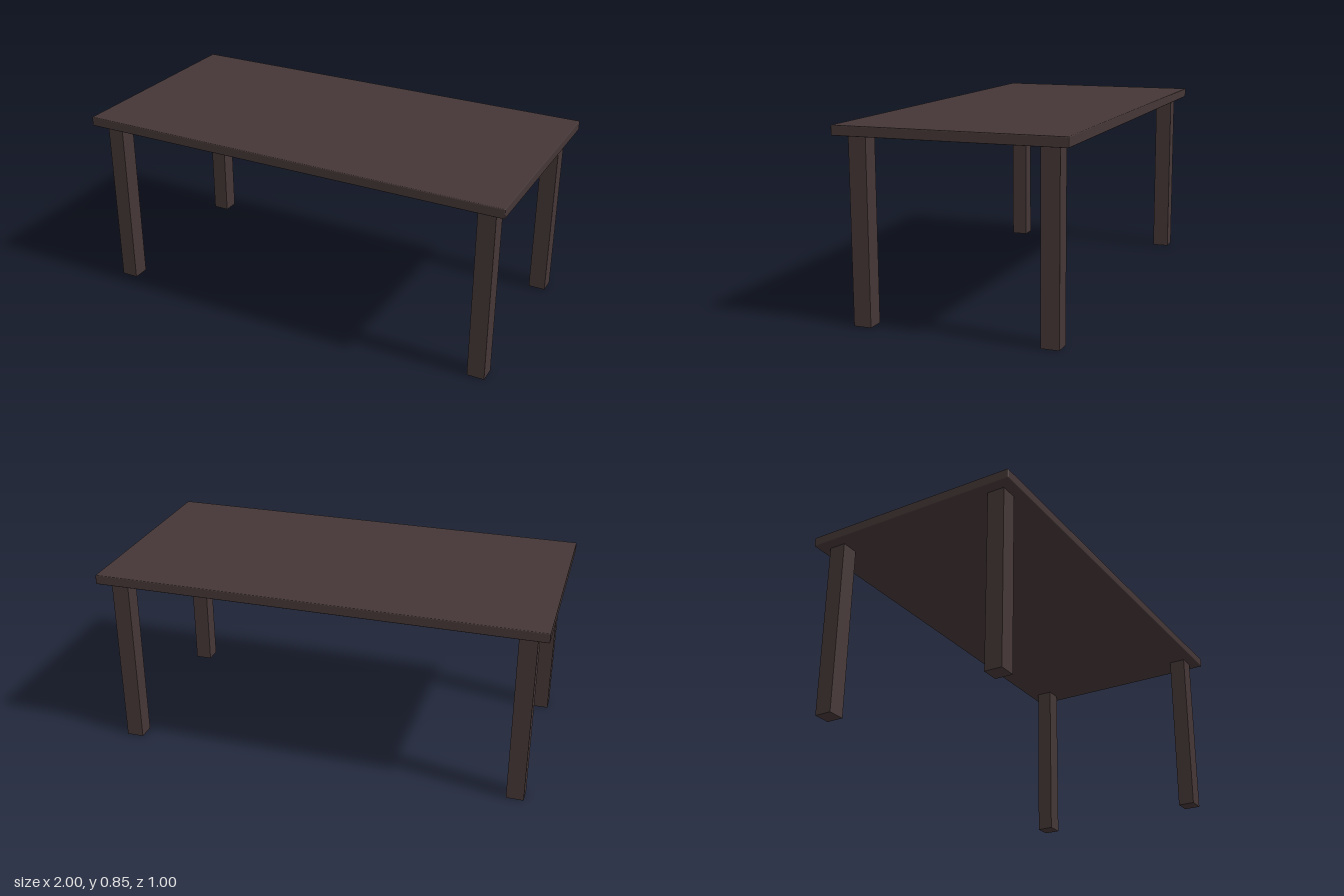
import * as THREE from 'three';
import { RoundedBoxGeometry } from 'three/addons/geometries/RoundedBoxGeometry.js';

const HEIGHT = 0.845;
const TOP_THICKNESS = 0.043;
const LEG_WIDTH = 0.078;
const LEG_HEIGHT = HEIGHT - TOP_THICKNESS;

export function createModel() {
  const table = new THREE.Group();
  table.name = 'table';

  const darkWood = new THREE.MeshStandardMaterial({ color: 0x443636 });
  darkWood.name = 'dark wood';

  // Table top with slightly softened edges
  const top = new THREE.Mesh(new RoundedBoxGeometry(2, TOP_THICKNESS, 1, 2, 0.004), darkWood);
  top.name = 'tableTop';
  top.position.y = HEIGHT - TOP_THICKNESS / 2;
  table.add(top);

  // Four square legs, set in from the corners
  const legGeometry = new THREE.BoxGeometry(LEG_WIDTH, LEG_HEIGHT, LEG_WIDTH);
  for (const [zSide, depthName] of [[1, 'front'], [-1, 'back']]) {
    for (const [xSide, sideName] of [[1, 'Left'], [-1, 'Right']]) {
      const leg = new THREE.Mesh(legGeometry, darkWood);
      leg.name = `${depthName}${sideName}Leg`;
      leg.position.set(xSide * 0.911, LEG_HEIGHT / 2, zSide * 0.411);
      table.add(leg);
    }
  }

  return table;
}
